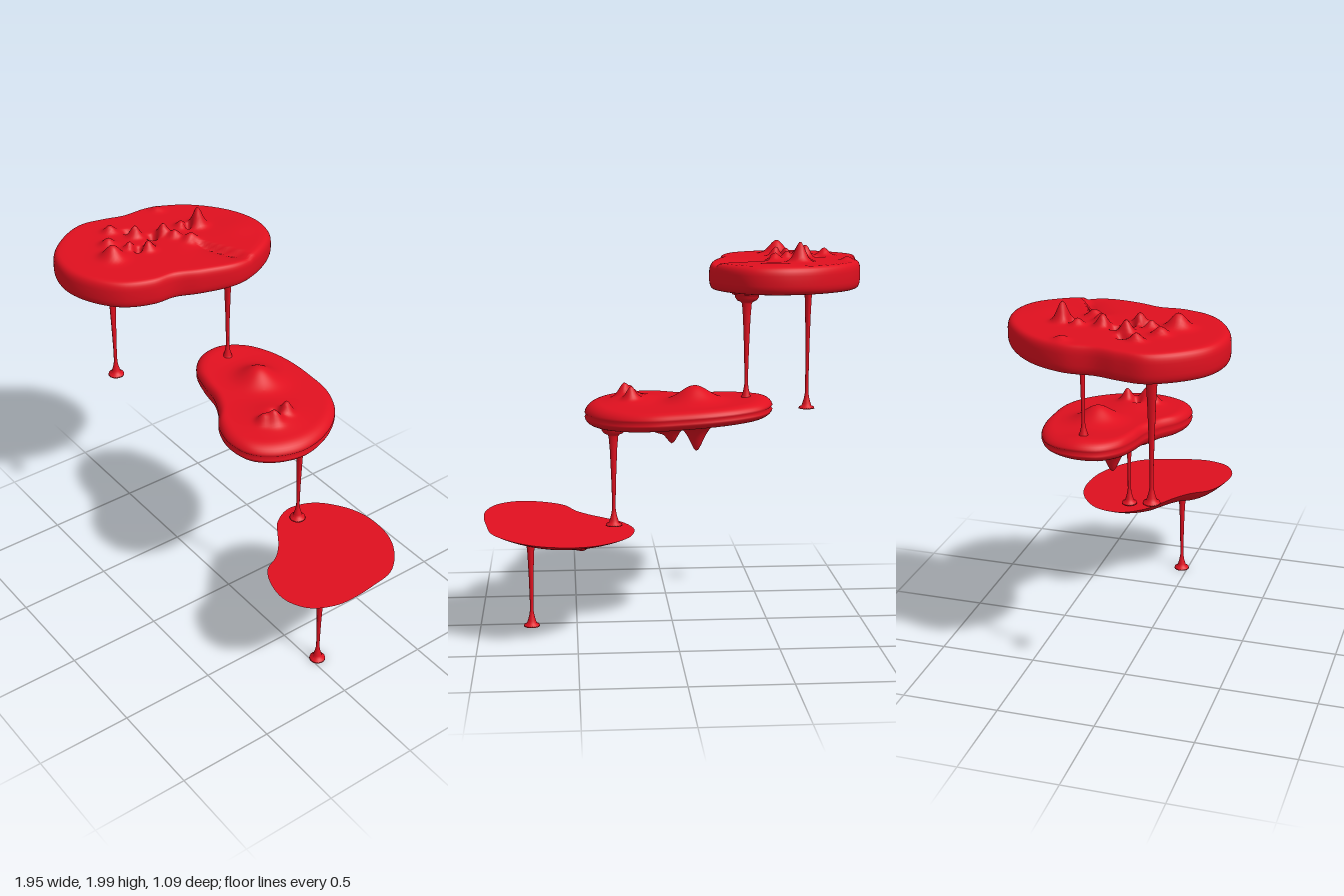
import * as THREE from 'three';

const red = new THREE.MeshStandardMaterial({ color: 0xe0101f, side: THREE.DoubleSide });
const AROUND = 128;

// Sum of soft bumps, each [x, z, height, radius]
const bumps = (list, x, z) => list.reduce((sum, [bx, bz, h, r]) =>
  sum + h * Math.exp(-((x - bx) ** 2 + (z - bz) ** 2) / (r * r)), 0);

const spow = (v, p) => Math.sign(v) * Math.abs(v) ** p;

// Rows [s, f] from the top centre over a rounded rim to the bottom centre:
// s is the share of the outline, f runs from 1 (top) to -1 (bottom)
function roundedRows(w, p, crease = 0) {
  const rows = [];
  for (let i = 0; i < 36; i++) rows.push([0.003 + (0.997 - w) * i / 36, 1]);
  for (let i = 0; i <= 16; i++) {
    const t = Math.PI * i / 16;
    let s = 1 - w + w * Math.abs(Math.sin(t)) ** p;
    if (i === 8) s -= crease;
    rows.push([s, spow(Math.cos(t), p)]);
  }
  for (let i = 35; i >= 0; i--) rows.push([0.003 + (0.997 - w) * i / 36, -1]);
  return rows;
}

// Flat top, sharp rim and a dished underside
function dishRows() {
  const rows = [];
  for (let i = 0; i <= 24; i++) rows.push([0.003 + 0.997 * i / 24, 1]);
  for (let i = 30; i >= 0; i--) {
    const s = 0.003 + 0.997 * i / 30;
    rows.push([s, 1 - 2 * (1 - s ** 4)]);
  }
  return rows;
}

// Puddle: outline points [x, z] swept through the rows between two height fields
function puddle(name, outline, [cx, cz], rows, top, bottom) {
  const curve = new THREE.CatmullRomCurve3(outline.map(([x, z]) => new THREE.Vector3(x, 0, z)), true);
  const rim = curve.getSpacedPoints(AROUND).slice(0, AROUND);
  const pos = [], index = [];
  rows.forEach(([s, f], i) => rim.forEach((p, j) => {
    const x = cx + s * (p.x - cx), z = cz + s * (p.z - cz);
    const hi = top(x, z), lo = bottom(x, z);
    pos.push(x, lo + (hi - lo) * (f + 1) / 2, z);
    if (i === rows.length - 1) return;
    const a = i * AROUND + j, b = i * AROUND + (j + 1) % AROUND;
    index.push(a, b, a + AROUND, b, b + AROUND, a + AROUND);
  }));
  const geo = new THREE.BufferGeometry();
  geo.setAttribute('position', new THREE.Float32BufferAttribute(pos, 3));
  geo.setIndex(index);
  geo.computeVertexNormals();
  const mesh = new THREE.Mesh(geo, red);
  mesh.name = name;
  return mesh;
}

// Drip: splayed foot, thin neck, thickening strand and a collar under the puddle
function drip(name, x, z, y0, y1, sx, sz) {
  const h = y1 - y0;
  const profile = [
    [0, 0], [0.042, 0], [0.04, 0.008], [0.026, 0.014], [0.021, 0.03], [0.014, 0.055], [0.009, 0.085],
    [0.009, h * 0.25], [0.012, h * 0.5], [0.017, h * 0.75], [0.022, h - 0.07], [0.027, h - 0.062],
    [0.044, h - 0.054], [0.054, h - 0.038], [0.055, h - 0.028], [0.066, h - 0.024], [0.069, h - 0.005],
    [0.066, h + 0.02],
  ].map(([r, y]) => new THREE.Vector2(r, y));
  const geo = new THREE.LatheGeometry(profile, 24);
  const p = geo.attributes.position;
  // The strand becomes oval towards its upper end
  for (let i = 0; i < p.count; i++) {
    const t = THREE.MathUtils.smoothstep(p.getY(i), 0.1, h * 0.6);
    p.setX(i, p.getX(i) * THREE.MathUtils.lerp(1, sx, t));
    p.setZ(i, p.getZ(i) * THREE.MathUtils.lerp(1, sz, t));
  }
  geo.computeVertexNormals();
  const mesh = new THREE.Mesh(geo, red);
  mesh.name = name;
  mesh.position.set(x, y0, z);
  return mesh;
}

export function createModel() {
  const group = new THREE.Group();
  group.name = 'drippingPuddles';

  // Upper puddle: thick slab with splash bumps, pits and a slanting crease
  const splash = [
    [-0.61, -0.25, 0.1, 0.035], [-0.64, -0.17, 0.035, 0.03], [-0.57, 0.29, 0.07, 0.05], [-0.69, 0.08, 0.06, 0.03],
    [-0.63, -0.05, 0.06, 0.03], [-0.54, 0.1, 0.05, 0.03], [-0.5, -0.13, 0.04, 0.035], [-0.8, 0.16, 0.04, 0.03],
    [-0.69, 0.24, 0.04, 0.035], [-0.57, -0.08, 0.04, 0.03], [-0.6, 0.17, 0.04, 0.025], [-0.86, -0.17, 0.02, 0.03],
    [-0.75, 0.08, -0.05, 0.022], [-0.575, 0.07, -0.05, 0.02], [-0.635, 0.01, -0.06, 0.022], [-0.57, 0.14, -0.05, 0.022],
    [-0.62, -0.2, -0.05, 0.02], [-0.47, -0.4, 0.008, 0.1],
  ];
  const crease = (x, z) => {
    const along = (x + 0.34) * 0.9 - (z + 0.21) * 0.44;
    const across = (x + 0.34) * 0.44 + (z + 0.21) * 0.9;
    return -0.04 * THREE.MathUtils.smoothstep(across, -0.015, 0.01)
      * Math.exp(-Math.max(across, 0) / 0.06) * Math.exp(-((along / 0.15) ** 4));
  };
  group.add(puddle('upperPuddle', [
    [-0.47, -0.55], [-0.33, -0.51], [-0.22, -0.37], [-0.17, -0.2], [-0.21, 0], [-0.26, 0.13], [-0.265, 0.25],
    [-0.33, 0.4], [-0.46, 0.5], [-0.62, 0.545], [-0.78, 0.51], [-0.9, 0.4], [-0.975, 0.25], [-0.96, 0.12],
    [-0.93, 0], [-0.93, -0.15], [-0.86, -0.32], [-0.75, -0.44], [-0.62, -0.52],
  ], [-0.6, 0.02], roundedRows(0.1, 0.65),
  (x, z) => 1.9 + 0.012 * z + bumps(splash, x, z) + crease(x, z),
  (x, z) => 1.758 + bumps([[-0.64, 0.02, -0.04, 0.02], [-0.58, 0.18, -0.02, 0.03], [-0.68, 0.26, -0.02, 0.04]], x, z)));

  // Middle puddle: sagging slab with a slit round its rim and hanging lumps
  group.add(puddle('middlePuddle', [
    [0, -0.54], [0.15, -0.53], [0.28, -0.47], [0.38, -0.36], [0.44, -0.22], [0.45, -0.1], [0.41, 0.03],
    [0.33, 0.12], [0.2, 0.15], [0.08, 0.12], [-0.02, 0.05], [-0.13, 0], [-0.25, -0.02], [-0.37, -0.06],
    [-0.46, -0.15], [-0.48, -0.28], [-0.42, -0.41], [-0.3, -0.49], [-0.16, -0.53],
  ], [0.02, -0.21], roundedRows(0.16, 0.95, 0.025),
  (x, z) => 1.215 - 0.05 * (x + 0.1) + 0.03 * (z + 0.2) + bumps([
    [-0.09, -0.26, 0.08, 0.1], [0.22, -0.2, 0.06, 0.03], [0.25, -0.1, 0.06, 0.035], [0.22, -0.05, 0.04, 0.03],
    [0.2, -0.14, -0.03, 0.025], [0.21, -0.14, 0.03, 0.13], [-0.42, -0.25, 0.01, 0.1]], x, z),
  (x, z) => 1.1 - 0.06 * x + 0.03 * Math.abs(z + 0.15) + bumps([
    [-0.11, -0.18, -0.1, 0.08], [-0.11, -0.18, -0.06, 0.035], [0.03, -0.41, -0.07, 0.035], [0.08, -0.36, -0.03, 0.05],
    [-0.02, -0.05, -0.03, 0.05]], x, z)));

  // Lower puddle: thin tilted dish with a sharp rim
  const tilt = (x, z) => 0.585 + 0.06 * z + 0.02 * (x - 0.6);
  group.add(puddle('lowerPuddle', [
    [0.55, -0.545], [0.7, -0.52], [0.83, -0.44], [0.92, -0.33], [0.95, -0.2], [0.97, -0.05], [0.965, 0.06],
    [0.91, 0.18], [0.8, 0.24], [0.68, 0.23], [0.56, 0.17], [0.5, 0.07], [0.43, 0], [0.36, -0.05],
    [0.27, -0.12], [0.21, -0.24], [0.24, -0.38], [0.34, -0.48], [0.44, -0.53],
  ], [0.62, -0.16], dishRows(), tilt,
  (x, z) => 0.495 + 0.08 * Math.max(0, x - 0.6)
    + bumps([[0.47, -0.3, -0.03, 0.04], [0.53, -0.27, -0.025, 0.04], [0.62, -0.22, -0.02, 0.04]], x, z)));

  // Drips: name, x, z, foot height, top height, oval factors
  [
    ['upperFrontDrip', -0.73, 0.21, 1.09, 1.765, 0.85, 1.25],
    ['upperBackDrip', -0.35, -0.25, 1.21, 1.765, 1.1, 0.9],
    ['middleDrip', 0.31, -0.22, 0.578, 1.105, 1.1, 0.85],
    ['lowerDrip', 0.735, -0.035, 0, 0.515, 1, 0.9],
  ].forEach((d) => group.add(drip(...d)));

  return group;
}
